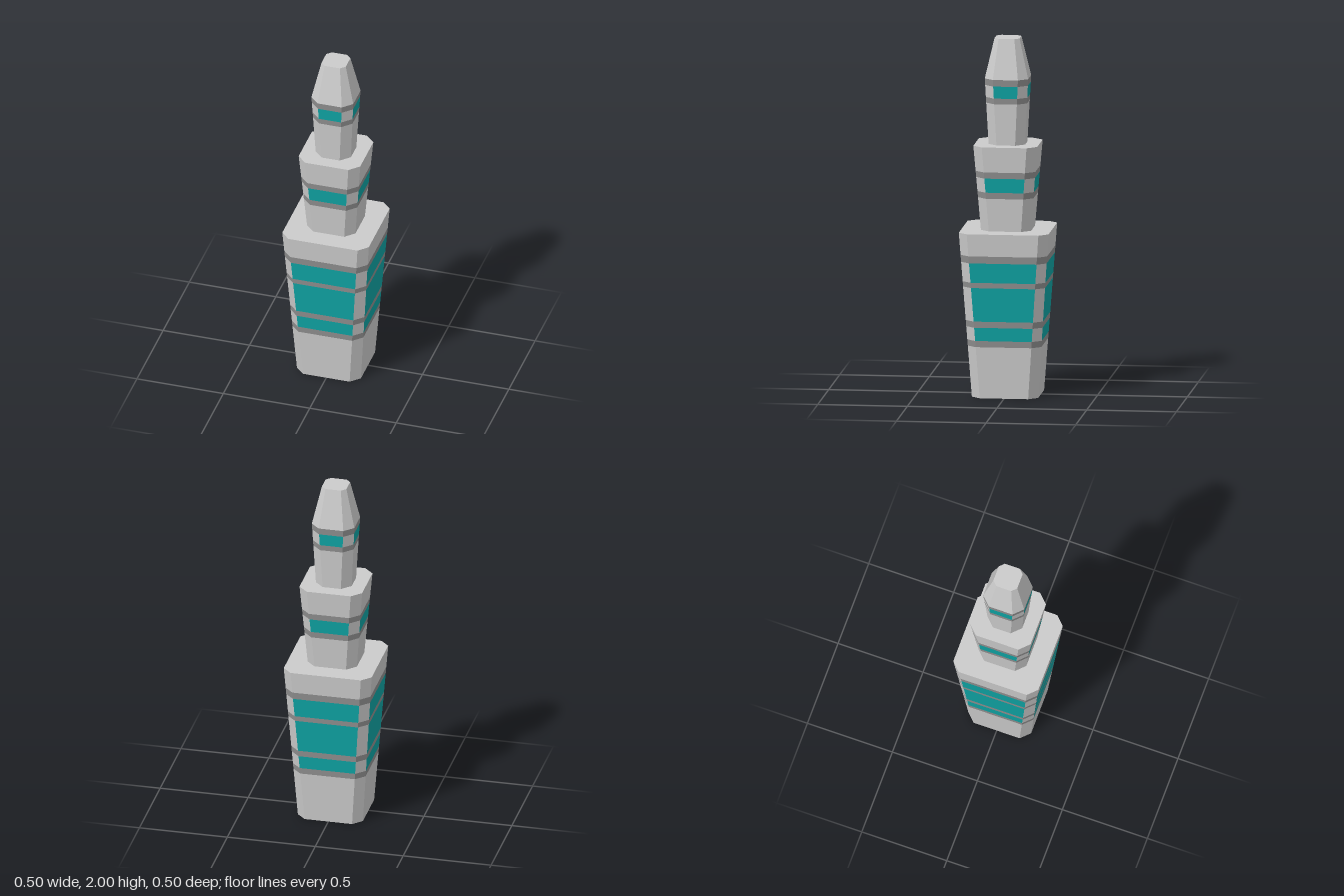
import * as THREE from 'three';

const grey = new THREE.MeshStandardMaterial({ color: 0xcccccc, flatShading: true });
const dark = new THREE.MeshStandardMaterial({ color: 0x8f8f8f, flatShading: true });
const teal = new THREE.MeshStandardMaterial({ color: 0x0fa3a3, flatShading: true });

// Each tier flares from a bottom to a top section: [y, half width, half width of the flat side].
// Bands are [bottom, top] heights; the windows fill the gaps listed after them.
const tiers = [
  {
    name: 'lowerTier', bottom: [0, 0.185, 0.135], top: [0.93, 0.25, 0.2],
    bands: [[0.29, 0.325], [0.4, 0.435], [0.625, 0.655], [0.765, 0.805]],
    windows: [[0.325, 0.4], [0.435, 0.625], [0.655, 0.765]],
  },
  {
    name: 'middleTier', bottom: [0.93, 0.14, 0.09], top: [1.407, 0.178, 0.125],
    bands: [[1.115, 1.15], [1.23, 1.265]], windows: [[1.15, 1.23]],
  },
  {
    name: 'upperTier', bottom: [1.407, 0.102, 0.052], top: [1.777, 0.121, 0.07],
    bands: [[1.64, 1.672], [1.74, 1.777]], windows: [[1.672, 1.74]],
  },
  { name: 'spire', bottom: [1.777, 0.121, 0.07], top: [2, 0.07, 0.044], bands: [], windows: [] },
];

// Eight corners of a square section with cut corners
function section([y, h, f]) {
  return [[-f, h], [f, h], [h, f], [h, -f], [f, -h], [-f, -h], [-h, -f], [-h, f]]
    .map(([x, z]) => [x, y, z]);
}

// Section of a tier at height y
function sectionAt(tier, y) {
  const t = (y - tier.bottom[0]) / (tier.top[0] - tier.bottom[0]);
  return section(tier.bottom.map((v, i) => v + (tier.top[i] - v) * t));
}

function addMesh(group, name, triangles, material) {
  const geometry = new THREE.BufferGeometry();
  geometry.setAttribute('position', new THREE.Float32BufferAttribute(triangles.flat(), 3));
  geometry.computeVertexNormals();
  const mesh = new THREE.Mesh(geometry, material);
  mesh.name = name;
  group.add(mesh);
}

// Wall strip between two heights; even sides are flat, odd sides are the cut corners
function strip(tier, y0, y1, sides) {
  const lo = sectionAt(tier, y0), hi = sectionAt(tier, y1);
  return sides.flatMap((i) => {
    const j = (i + 1) % 8;
    return [lo[i], lo[j], hi[j], lo[i], hi[j], hi[i]];
  });
}

function cap(ring) {
  return [1, 2, 3, 4, 5, 6].flatMap((i) => [ring[0], ring[i], ring[i + 1]]);
}

export function createModel() {
  const model = new THREE.Group();
  model.name = 'tower';
  const flats = [0, 2, 4, 6], corners = [1, 3, 5, 7], all = [...flats, ...corners];

  for (const tier of tiers) {
    const group = new THREE.Group();
    group.name = tier.name;
    model.add(group);

    // Plain walls between the bands and windows, plus the top and bottom faces
    const walls = [...cap(section(tier.top)), ...cap(section(tier.bottom).reverse())];
    const filled = [...tier.bands, ...tier.windows].sort((a, b) => a[0] - b[0]);
    let y = tier.bottom[0];
    for (const [from, to] of [...filled, [tier.top[0], tier.top[0]]]) {
      if (from - y > 1e-4) walls.push(...strip(tier, y, from, all));
      y = to;
    }

    // Windows on the four flat sides, with plain wall on the cut corners
    tier.windows.forEach(([a, b], i) => {
      addMesh(group, `windows${i + 1}`, strip(tier, a, b, flats), teal);
      walls.push(...strip(tier, a, b, corners));
    });
    addMesh(group, 'walls', walls, grey);

    // Dark bands running all the way round
    tier.bands.forEach(([a, b], i) => addMesh(group, `band${i + 1}`, strip(tier, a, b, all), dark));
  }
  return model;
}
